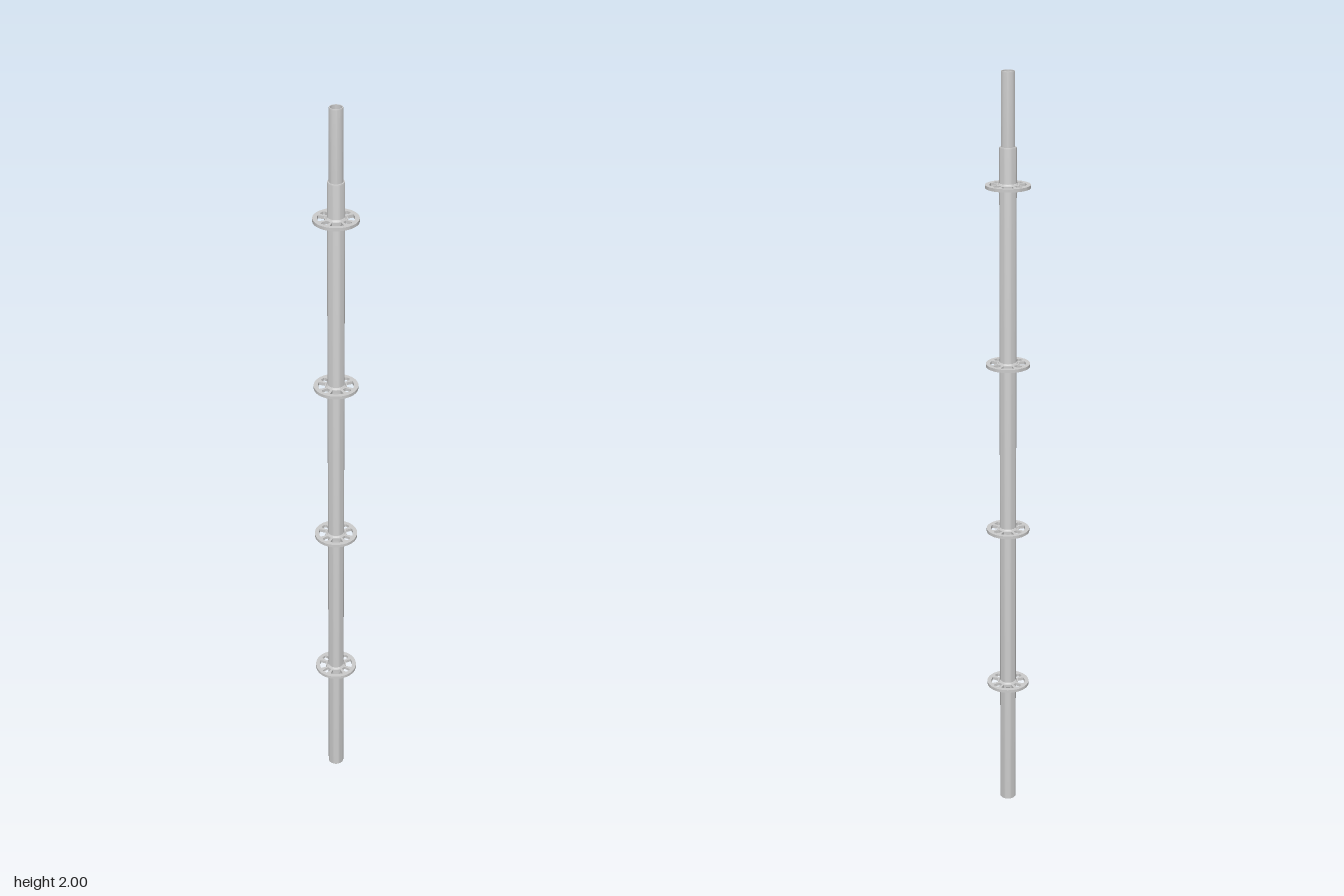
import * as THREE from 'three';
import { toCreasedNormals } from 'three/addons/utils/BufferGeometryUtils.js';

const steel = new THREE.MeshStandardMaterial({ color: 0xcccccc });

// Turned part from a [radius, height] profile, running up the outside
function turned(name, profile) {
  const points = profile.map(([r, y]) => new THREE.Vector2(r, y));
  const mesh = new THREE.Mesh(toCreasedNormals(new THREE.LatheGeometry(points, 40), 0.5), steel);
  mesh.name = name;
  return mesh;
}

// Hole at a given angle from points given as [radial, sideways]
function holeAt(angle, points) {
  const c = Math.cos(angle), s = Math.sin(angle);
  return new THREE.Path(points.map(([u, v]) => new THREE.Vector2(u * c - v * s, u * s + v * c)));
}

// Wide fan-shaped opening with arced inner and outer edges
function fanPoints(inner, outer, half) {
  const points = [];
  for (let i = 0; i <= 8; i++) {
    const a = -half + (2 * half * i) / 8;
    points.push([outer * Math.cos(a), outer * Math.sin(a)]);
  }
  for (let i = 4; i >= 0; i--) {
    const a = -half + (2 * half * i) / 4;
    points.push([inner * Math.cos(a), inner * Math.sin(a)]);
  }
  return points;
}

// Flat connector plate: four narrow slots on the axes, four wide ones between
function plateGeometry() {
  const thickness = 0.008;
  const shape = new THREE.Shape();
  shape.absarc(0, 0, 0.056, 0, Math.PI * 2);
  const bore = new THREE.Path();
  bore.absarc(0, 0, 0.0215, 0, Math.PI * 2, true);
  shape.holes.push(bore);

  const slot = [
    [0.027, -0.005], [0.031, -0.007], [0.042, -0.008], [0.046, -0.005],
    [0.046, 0.005], [0.042, 0.008], [0.031, 0.007], [0.027, 0.005],
  ];
  const fan = fanPoints(0.028, 0.045, 0.38);
  for (let i = 0; i < 4; i++) {
    const angle = (i * Math.PI) / 2;
    shape.holes.push(holeAt(angle, slot), holeAt(angle + Math.PI / 4, fan));
  }
  const geometry = new THREE.ExtrudeGeometry(shape, {
    depth: thickness, bevelEnabled: false, curveSegments: 24,
  });
  geometry.translate(0, 0, -thickness / 2);
  geometry.rotateX(-Math.PI / 2);
  return toCreasedNormals(geometry, 0.5);
}

export function createModel() {
  const model = new THREE.Group();
  model.name = 'scaffoldPost';

  // Main hollow tube, open at the foot
  model.add(turned('mainTube', [
    [0.0185, 0], [0.0213, 0], [0.0213, 1.817], [0.0205, 1.82],
    [0.0165, 1.82], [0.0185, 1.81], [0.0185, 0],
  ]));

  // Narrower spigot tube, with a floor inside the main tube
  model.add(turned('spigot', [
    [0, 1.64], [0.0168, 1.64], [0.0168, 1.997], [0.0162, 2],
    [0.0142, 2], [0.0142, 1.65], [0, 1.65],
  ]));

  // Four evenly spaced connector plates, each with a weld collar
  const plate = plateGeometry();
  for (let i = 0; i < 4; i++) {
    const connector = new THREE.Group();
    connector.name = 'connector' + (i + 1);
    connector.position.y = 0.361 + i * 0.4545;
    const disc = new THREE.Mesh(plate, steel);
    disc.name = 'connectorPlate';
    connector.add(disc, turned('weldCollar', [
      [0.021, -0.008], [0.0225, -0.0075], [0.025, -0.004],
      [0.025, 0.004], [0.0225, 0.0075], [0.021, 0.008],
    ]));
    model.add(connector);
  }
  return model;
}
